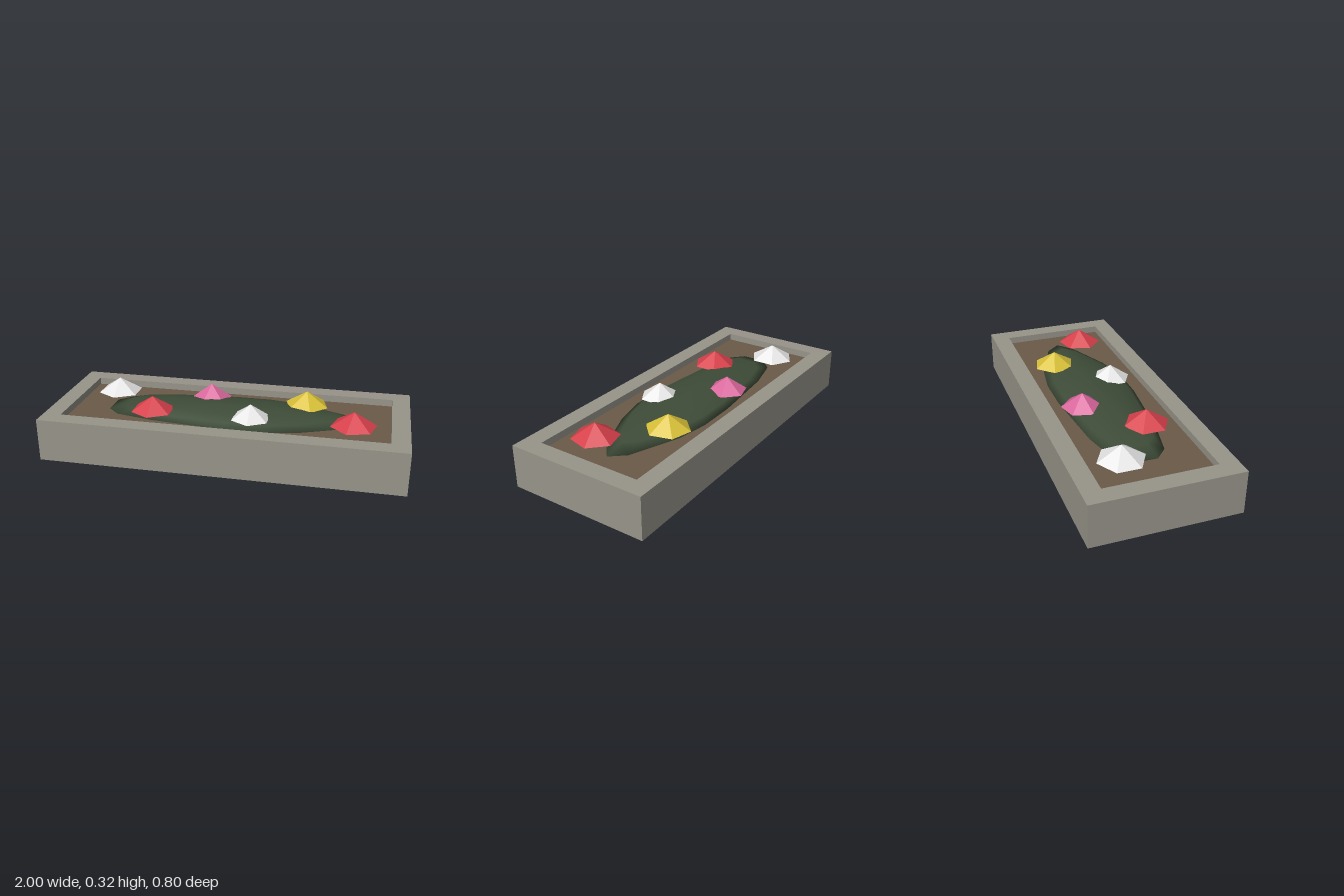
import * as THREE from 'three';

const mat = (name, color, opts = {}) => {
  const m = new THREE.MeshStandardMaterial({ color, ...opts });
  m.name = name;
  return m;
};

export function createModel() {
  const group = new THREE.Group();
  const stone = mat('stone', 0x98948a, { side: THREE.DoubleSide });
  const soil = mat('soil', 0x6a5a48, { side: THREE.DoubleSide });
  const leaf = mat('leaf', 0x3e4c38);
  const white = mat('white', 0xe6e6e6, { flatShading: true });
  const red = mat('red', 0xd63f4a, { flatShading: true });
  const pink = mat('pink', 0xd9669c, { flatShading: true });
  const yellow = mat('yellow', 0xd8c038, { flatShading: true });

  const add = (parent, name, geometry, material, x = 0, y = 0, z = 0) => {
    const mesh = new THREE.Mesh(geometry, material);
    mesh.name = name;
    mesh.position.set(x, y, z);
    parent.add(mesh);
    return mesh;
  };

  // Open-bottomed trough: thin outer walls, flat rim and inner lip
  const H = 0.24, soilY = 0.2;
  const trough = new THREE.Group();
  trough.name = 'trough';
  group.add(trough);
  const walls = (name, w, d, y0, y1, dir) => {
    for (let i = 0; i < 4; i++) {
      const [len, off] = i % 2 ? [d, w / 2] : [w, d / 2];
      const a = (i * Math.PI) / 2;
      const wall = add(trough, name, new THREE.PlaneGeometry(len, y1 - y0), stone,
        Math.sin(a) * off, (y0 + y1) / 2, Math.cos(a) * off);
      wall.rotation.y = a + (dir < 0 ? Math.PI : 0);
    }
  };
  walls('outerWall', 2, 0.8, 0, H, 1);
  walls('innerWall', 1.8, 0.6, soilY, H, -1);

  const rect = (T, x, y) => new T([[-x, -y], [x, -y], [x, y], [-x, y]].map(p => new THREE.Vector2(...p)));
  const rimShape = rect(THREE.Shape, 1, 0.4);
  rimShape.holes.push(rect(THREE.Path, 0.9, 0.3));
  add(trough, 'rim', new THREE.ShapeGeometry(rimShape).rotateX(-Math.PI / 2), stone, 0, H, 0);

  add(group, 'soil', new THREE.PlaneGeometry(1.8, 0.6).rotateX(-Math.PI / 2), soil, 0, soilY, 0);

  // Flattened foliage mound: one outline scaled through stacked rings
  const outline = [
    [0.77, -0.01], [0.7, -0.09], [0.42, -0.2], [0.23, -0.23], [0, -0.23], [-0.42, -0.19],
    [-0.62, -0.14], [-0.7, -0.07], [-0.7, 0.07], [-0.63, 0.135], [-0.42, 0.18], [0, 0.225],
    [0.23, 0.225], [0.42, 0.18], [0.68, 0.07],
  ];
  const rings = [[0.001, 0.06], [0.28, 0.056], [0.55, 0.046], [0.85, 0.026], [1, 0],
    [0.85, -0.03], [0.55, -0.05], [0.001, -0.06]];
  const n = outline.length;
  const pos = [], idx = [];
  rings.forEach(([s, h], r) => outline.forEach(([x, z], i) => {
    pos.push(x * s, h, z * s);
    if (r === rings.length - 1) return;
    const a = r * n + i, b = r * n + (i + 1) % n;
    idx.push(a, b + n, b, a, a + n, b + n);
  }));
  // The outline runs clockwise seen from +y reversed, so orient faces outward
  for (let k = 0; k < idx.length; k += 3) {
    const [a, b, c] = [0, 1, 2].map(j => new THREE.Vector3().fromArray(pos, idx[k + j] * 3));
    const centre = a.clone().add(b).add(c);
    const normal = b.clone().sub(a).cross(c.clone().sub(a));
    if (normal.dot(centre) < 0) [idx[k + 1], idx[k + 2]] = [idx[k + 2], idx[k + 1]];
  }
  const mound = new THREE.BufferGeometry();
  mound.setAttribute('position', new THREE.Float32BufferAttribute(pos, 3));
  mound.setIndex(idx);
  mound.computeVertexNormals();
  add(group, 'foliage', mound, leaf, 0, soilY, 0);

  // Two staggered rows of six-sided blossoms
  const blossoms = [
    [white, -0.7, -0.125, 0.128, 0], [red, -0.42, 0.122, 0.125, 0],
    [pink, -0.14, -0.138, 0.116, -0.26], [white, 0.14, 0.128, 0.113, 0],
    [yellow, 0.42, -0.13, 0.125, 0.26], [red, 0.7, 0.12, 0.128, -0.26],
  ];
  for (const [m, x, z, r, turn] of blossoms) {
    const b = add(group, m.name + 'Blossom', new THREE.ConeGeometry(r, 0.08, 6), m, x, 0.28, z);
    b.rotation.y = turn;
  }
  return group;
}
